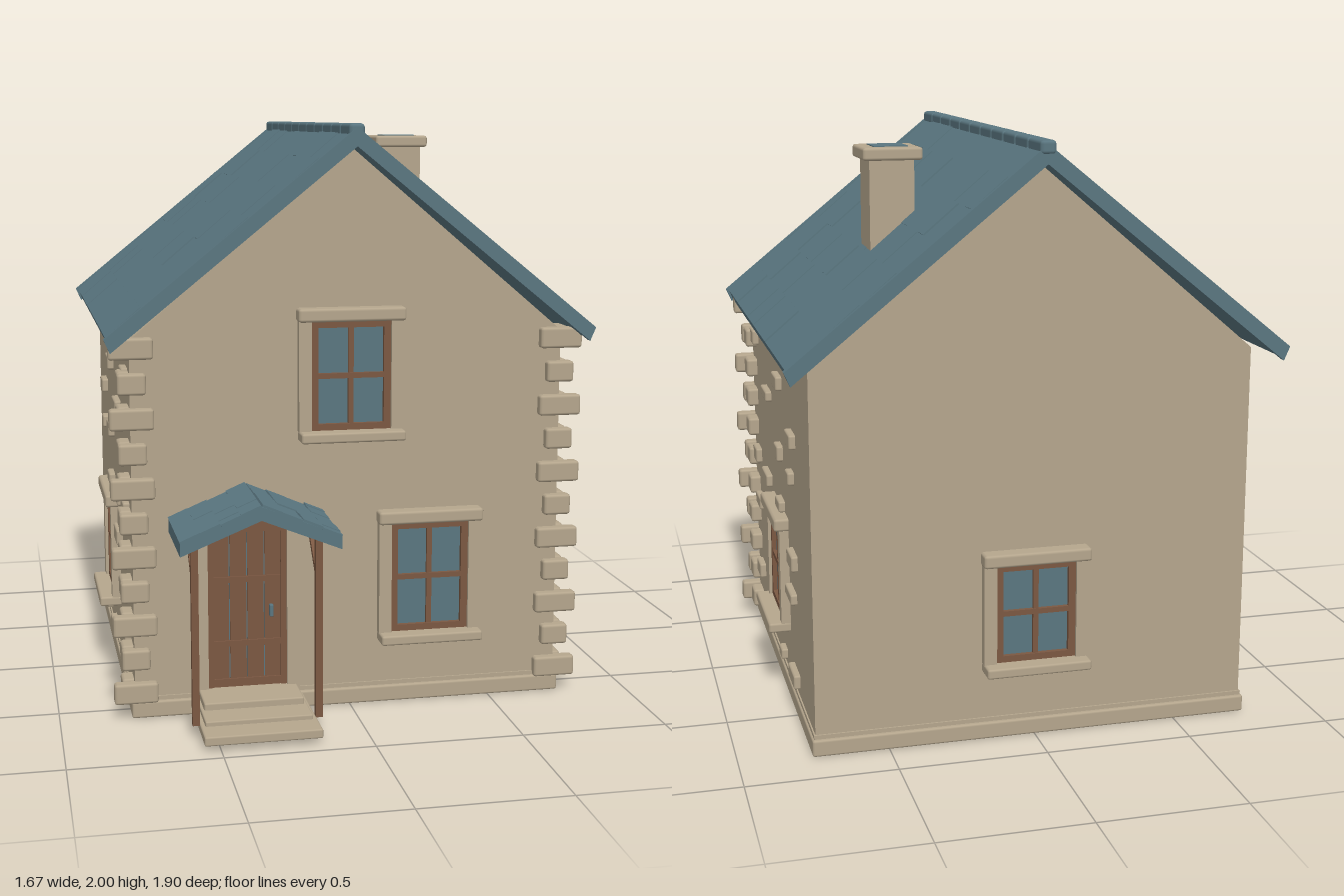
import * as THREE from 'three';
import { mergeGeometries } from 'three/addons/utils/BufferGeometryUtils.js';
import { RoundedBoxGeometry } from 'three/addons/geometries/RoundedBoxGeometry.js';

const material = (name, color) => {
  const m = new THREE.MeshStandardMaterial({ color });
  m.name = name;
  return m;
};

export function createModel() {
  const stone = material('stone', 0xb5a68d);
  const slate = material('slate', 0x5a7680);
  const wood = material('wood', 0x7b5842);
  const house = new THREE.Group();
  house.name = 'cottage';

  let seed = 7;
  const random = () => (seed = (seed * 16807) % 2147483647) / 2147483647;

  const add = (parent, name, geometry, mat) => {
    const mesh = new THREE.Mesh(geometry, mat);
    mesh.name = name;
    parent.add(mesh);
    return mesh;
  };
  // Box from its lower and upper corners; r > 0 softens the edges
  const block = (parent, name, mat, x0, x1, y0, y1, z0, z1, r = 0) => {
    const size = [x1 - x0, y1 - y0, z1 - z0];
    const g = r ? new RoundedBoxGeometry(...size, 1, r) : new THREE.BoxGeometry(...size);
    g.translate((x0 + x1) / 2, (y0 + y1) / 2, (z0 + z1) / 2);
    return add(parent, name, g, mat);
  };
  // Outline in x and y, extruded from z0 to z1
  const prism = (parent, name, mat, points, z0, z1) => {
    const shape = new THREE.Shape(points.map(p => new THREE.Vector2(...p)));
    const g = new THREE.ExtrudeGeometry(shape, { depth: z1 - z0, bevelEnabled: false });
    return add(parent, name, g.translate(0, 0, z0), mat);
  };
  // Inverted V band: apex height, half width, slope, vertical thickness
  const chevron = (cx, apex, half, slope, t, lean) => [
    [cx, apex], [cx - half, apex - half * slope],
    [cx - half + lean, apex - t - (half - lean) * slope], [cx, apex - t],
    [cx + half - lean, apex - t - (half - lean) * slope], [cx + half, apex - half * slope],
  ];
  // Staggered slates on both slopes, with slight unevenness
  const slates = (parent, name, cx, apex, half, slope, z0, z1, rows, cols, t) => {
    const angle = Math.atan(slope), length = half / Math.cos(angle);
    const rowLength = length / rows, width = (z1 - z0) / cols;
    const parts = [];
    for (const s of [-1, 1]) {
      for (let r = 0; r < rows; r++) {
        for (let c = 0; c <= cols; c++) {
          const shift = r % 2 ? 0.5 : 0;
          const a = Math.max(z0, z0 + (c - shift) * width);
          const b = Math.min(z1, z0 + (c + 1 - shift) * width);
          if (b - a < 0.01) continue;
          const g = new THREE.BoxGeometry(rowLength, t, b - a);
          g.rotateZ(-s * 0.02);
          g.translate(s * (r + 0.5) * rowLength, Math.round(random() * 2) * 0.0025, (a + b) / 2);
          g.rotateZ(-s * angle);
          parts.push(g.translate(cx, apex, 0));
        }
      }
    }
    add(parent, name, mergeGeometries(parts), slate);
  };

  // Walls and plinth
  prism(house, 'walls', stone,
    [[-0.745, 0.02], [0.745, 0.02], [0.745, 1.295], [0, 1.925], [-0.745, 1.295]], -0.832, 0.582);
  block(house, 'plinth', stone, -0.757, 0.757, 0, 0.058, -0.85, 0.6, 0.008);
  block(house, 'plinthTop', stone, -0.75, 0.75, 0.05, 0.072, -0.838, 0.588);

  // Corner stones, alternately long and short
  for (const s of [-1, 1]) {
    for (let i = 0; i < 11; i++) {
      const y = 0.09 + i * 0.118, long = i % 2 === 0;
      const [inner, outer] = long ? [0.667, 0.816] : [0.692, 0.788];
      const [a, b] = s > 0 ? [inner, outer] : [-outer, -inner];
      block(house, 'cornerStone', stone, a, b, y - 0.036, y + 0.036, 0.565, 0.612, 0.01);
      const [c, d] = s > 0 ? [0.72, 0.785] : [-0.785, -0.72];
      block(house, 'sideCornerStone', stone, c, d, y - 0.034, y + 0.034, 0.465, 0.548, 0.01);
    }
  }

  // Loose stones set in both side walls: z, y, width, height
  const stones = [
    [0.455, 1.165, 0.1, 0.055], [-0.17, 1.12, 0.115, 0.05], [0.13, 1.01, 0.14, 0.037],
    [-0.475, 0.985, 0.11, 0.05], [-0.175, 0.865, 0.085, 0.055], [-0.445, 0.845, 0.07, 0.045],
    [0.165, 0.68, 0.145, 0.045], [-0.185, 0.675, 0.1, 0.04], [-0.46, 0.555, 0.12, 0.055],
    [0.11, 0.525, 0.13, 0.055], [0.38, 0.525, 0.12, 0.045], [-0.415, 0.415, 0.14, 0.038],
    [-0.175, 0.112, 0.07, 0.038], [-0.445, 0.125, 0.14, 0.05], [0.42, 0.235, 0.1, 0.055],
    [0.44, 0.7, 0.1, 0.055],
  ];
  for (const s of [-1, 1]) {
    for (const [z, y, w, h] of stones) {
      block(house, 'wallStone', stone, s * 0.75 - 0.018, s * 0.75 + 0.018,
        y - h / 2, y + h / 2, z - w / 2, z + w / 2, 0.007);
    }
  }

  // Window facing +z, from sill bottom (y = 0) to lintel top (y = h)
  const addWindow = (name, h, x, y, z, turn) => {
    const g = new THREE.Group();
    g.name = name;
    block(g, 'sill', stone, -0.18, 0.18, 0, 0.035, -0.02, 0.078, 0.008);
    block(g, 'lintel', stone, -0.185, 0.185, h - 0.046, h, -0.02, 0.052, 0.01);
    const y0 = 0.033, y1 = h - 0.044, mid = (y0 + y1) / 2;
    for (const s of [-1, 1]) {
      block(g, 'jamb', stone, s * 0.159 - 0.022, s * 0.159 + 0.022, y0, y1, -0.02, 0.033);
      block(g, 'frameSide', wood, s * 0.125 - 0.012, s * 0.125 + 0.012, y0, y1, -0.01, 0.022);
    }
    block(g, 'frameBottom', wood, -0.137, 0.137, y0, y0 + 0.024, -0.01, 0.022);
    block(g, 'frameTop', wood, -0.137, 0.137, y1 - 0.024, y1, -0.01, 0.022);
    block(g, 'mullion', wood, -0.009, 0.009, y0, y1, -0.01, 0.018);
    block(g, 'crossbar', wood, -0.13, 0.13, mid - 0.009, mid + 0.009, -0.01, 0.02);
    block(g, 'glass', slate, -0.13, 0.13, y0, y1, 0, 0.006);
    g.position.set(x, y, z);
    g.rotation.y = turn;
    house.add(g);
  };
  addWindow('frontLowerWindow', 0.467, 0.28, 0.22, 0.582, 0);
  addWindow('frontUpperWindow', 0.452, 0, 0.94, 0.582, 0);
  addWindow('backWindow', 0.42, 0, 0.235, -0.832, Math.PI);
  addWindow('leftWindow', 0.42, 0.745, 0.235, -0.13, Math.PI / 2);
  addWindow('rightWindow', 0.42, -0.745, 0.235, -0.13, -Math.PI / 2);

  // Main roof with gable boards and ridge caps
  const slope = 0.808;
  prism(house, 'roof', slate, chevron(0, 1.974, 0.822, slope, 0.042, 0.012), -0.93, 0.675);
  slates(house, 'roofSlates', 0, 1.976, 0.822, slope, -0.925, 0.668, 7, 10, 0.011);
  for (const [a, b] of [[-0.943, -0.918], [0.664, 0.689]]) {
    prism(house, 'gableBoard', slate, chevron(0, 1.988, 0.834, slope, 0.062, 0.02), a, b);
  }
  for (let i = 0; i < 11; i++) {
    const z = -0.947 + i * 0.1486;
    block(house, 'ridgeCap', slate, -0.027, 0.027, 1.955, 2, z, z + 0.145, 0.012);
  }

  // Chimney
  block(house, 'chimney', stone, 0.312, 0.464, 1.57, 1.92, -0.438, -0.275);
  block(house, 'chimneyCap', stone, 0.285, 0.488, 1.905, 1.948, -0.458, -0.255, 0.01);
  block(house, 'chimneyOpening', slate, 0.328, 0.445, 1.945, 1.951, -0.415, -0.298);

  // Door with planks, rails and stone surround
  const door = new THREE.Group();
  door.name = 'door';
  house.add(door);
  block(door, 'doorBacking', slate, -0.48, -0.24, 0.09, 0.665, 0.575, 0.587);
  for (let i = 0; i < 4; i++) {
    const x = -0.48 + i * 0.06;
    block(door, 'plank', wood, x + 0.002, x + 0.058, 0.09, 0.665, 0.58, 0.594);
  }
  for (const [y0, y1] of [[0.09, 0.12], [0.235, 0.255], [0.46, 0.48], [0.635, 0.665]]) {
    block(door, 'rail', wood, -0.48, -0.24, y0, y1, 0.585, 0.6);
  }
  for (const s of [-1, 1]) {
    const x = -0.36 + s * 0.126, j = -0.36 + s * 0.158;
    block(door, 'doorFrameSide', wood, x - 0.01, x + 0.01, 0.085, 0.675, 0.575, 0.604);
    block(door, 'doorJamb', stone, j - 0.022, j + 0.022, 0.08, 0.68, 0.57, 0.615);
  }
  block(door, 'doorFrameTop', wood, -0.496, -0.224, 0.66, 0.68, 0.575, 0.604);
  block(door, 'doorLintel', stone, -0.545, -0.175, 0.68, 0.725, 0.57, 0.625, 0.01);
  block(door, 'handle', slate, -0.284, -0.27, 0.335, 0.378, 0.59, 0.612, 0.004);

  // Porch steps, posts, braces and roof
  const porch = new THREE.Group();
  porch.name = 'porch';
  house.add(porch);
  block(porch, 'lowerStep', stone, -0.555, -0.165, 0.02, 0.052, 0.57, 0.95, 0.006);
  block(porch, 'middleStep', stone, -0.54, -0.18, 0.045, 0.068, 0.57, 0.855, 0.005);
  block(porch, 'upperStep', stone, -0.53, -0.19, 0.06, 0.092, 0.57, 0.75, 0.006);
  for (const s of [-1, 1]) {
    const x = -0.36 + s * 0.206;
    block(porch, 'post', wood, x - 0.012, x + 0.012, 0.045, 0.68, 0.799, 0.823);
    const brace = add(porch, 'brace', new THREE.BoxGeometry(0.018, 0.018, 0.2), wood);
    brace.position.set(x, 0.597, 0.738);
    brace.rotation.x = Math.PI / 4;
  }
  prism(porch, 'porchRoof', slate, chevron(-0.36, 0.796, 0.263, 0.405, 0.045, 0), 0.575, 0.917);
  slates(porch, 'porchSlates', -0.36, 0.796, 0.263, 0.405, 0.575, 0.92, 4, 4, 0.008);

  return house;
}
